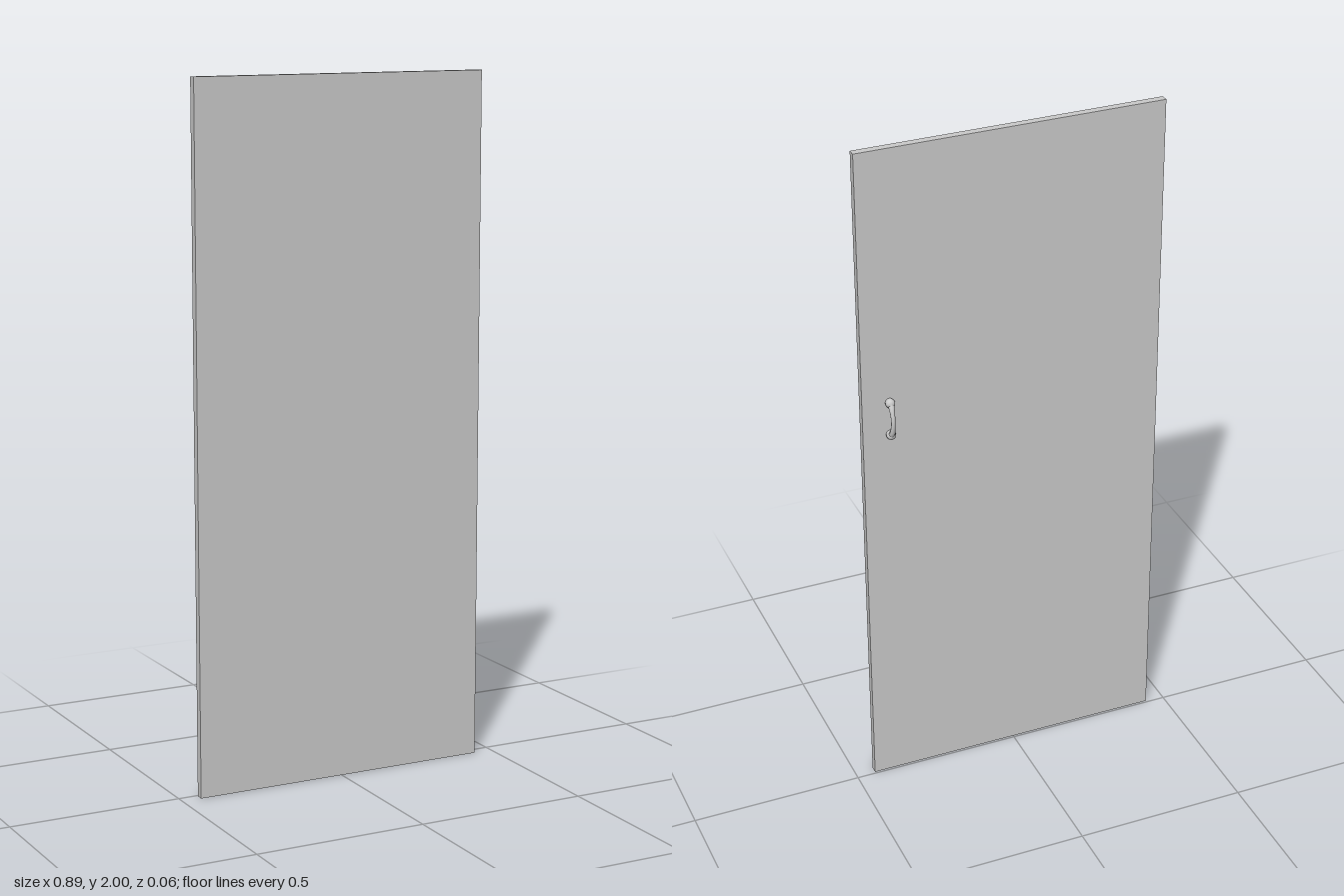
import * as THREE from 'three';

const material = new THREE.MeshStandardMaterial({ color: 0xcccccc });

const DOOR = { width: 0.888, height: 2, depth: 0.022, back: 0.006 };
const HANDLE = { x: 0.365, y: 1.201, footOffset: 0.05 };

function addMesh(parent, name, geometry) {
  const mesh = new THREE.Mesh(geometry, material);
  mesh.name = name;
  parent.add(mesh);
  return mesh;
}

// Bowed grip: a tube that is slimmest in the middle and swells towards its feet
function gripGeometry() {
  const r = 0.006, rings = 24, sides = 12, f = HANDLE.footOffset;
  const path = new THREE.CatmullRomCurve3([
    [-f, -0.003], [-f * 0.78, -0.0125], [-f * 0.4, -0.0195],
    [0, -0.022],
    [f * 0.4, -0.0195], [f * 0.78, -0.0125], [f, -0.003],
  ].map(([y, z]) => new THREE.Vector3(0, y, z)));
  const geometry = new THREE.TubeGeometry(path, rings, r, sides);
  const pos = geometry.attributes.position, nor = geometry.attributes.normal;
  for (let i = 0; i < pos.count; i++) {
    const t = Math.floor(i / (sides + 1)) / rings * 2 - 1;
    const swell = 0.004 * t * t;
    pos.setXYZ(i,
      pos.getX(i) + nor.getX(i) * swell,
      pos.getY(i) + nor.getY(i) * swell,
      pos.getZ(i) + nor.getZ(i) * swell);
  }
  geometry.computeVertexNormals();
  return geometry;
}

// Domed round foot, turned so that it stands out from the back of the door
function footGeometry() {
  const profile = [
    [0.012, 0], [0.0135, 0.006], [0.0132, 0.011],
    [0.011, 0.016], [0.007, 0.0195], [0, 0.021],
  ].map(([x, y]) => new THREE.Vector2(x, y));
  return new THREE.LatheGeometry(profile, 14).rotateX(-Math.PI / 2);
}

export function createModel() {
  const model = new THREE.Group();
  model.name = 'door';

  // Flat door panel
  const panel = addMesh(model, 'doorPanel',
    new THREE.BoxGeometry(DOOR.width, DOOR.height, DOOR.depth));
  panel.position.set(0, DOOR.height / 2, DOOR.back + DOOR.depth / 2);

  // Pull handle on the back
  const handle = new THREE.Group();
  handle.name = 'handle';
  handle.position.set(HANDLE.x, HANDLE.y, 0);
  model.add(handle);

  addMesh(handle, 'handleGrip', gripGeometry());
  const foot = footGeometry();
  for (const [name, side] of [['lowerHandleFoot', -1], ['upperHandleFoot', 1]]) {
    addMesh(handle, name, foot).position.set(0, side * HANDLE.footOffset, DOOR.back);
  }

  return model;
}
